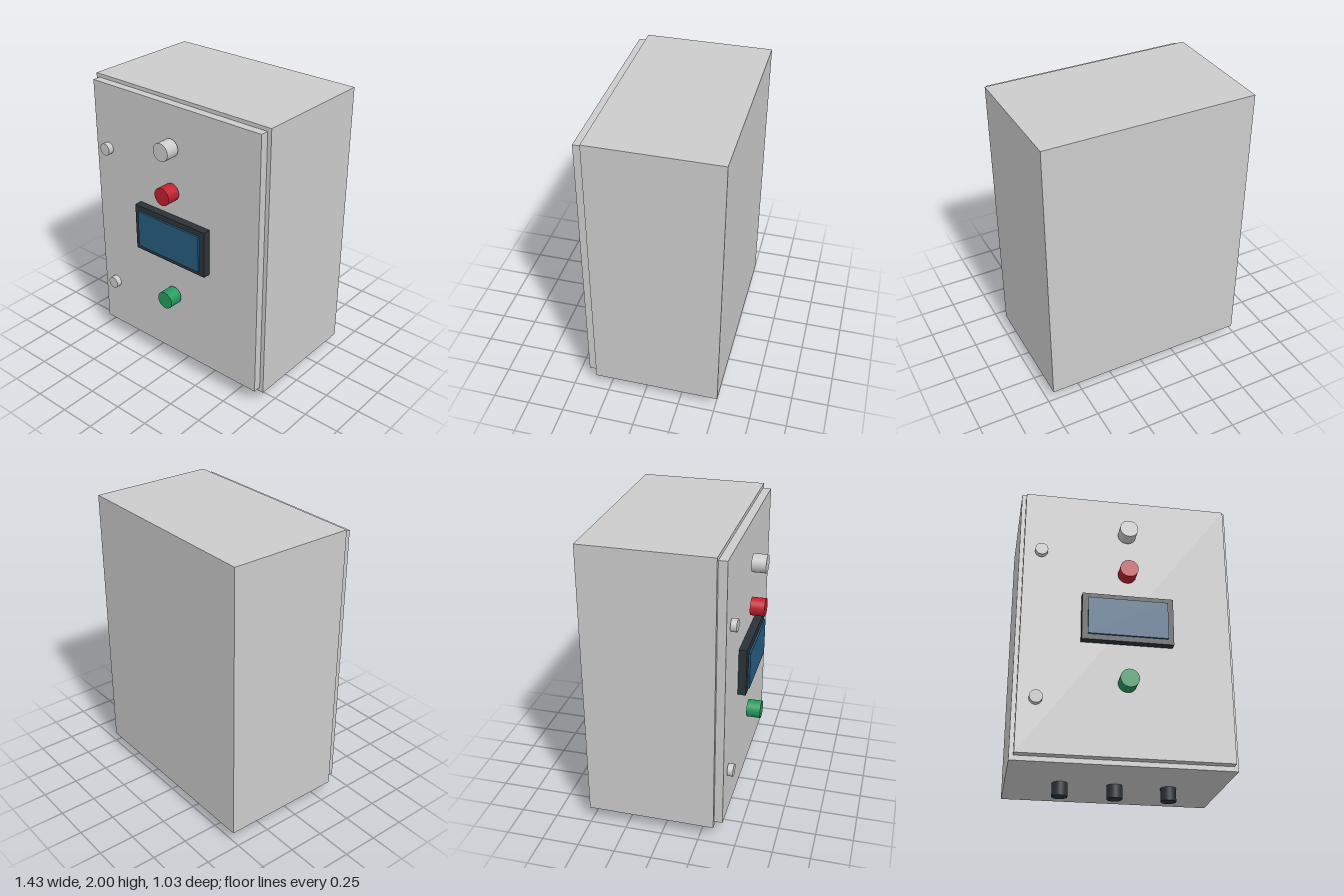
import * as THREE from 'three';

const material = (color) => new THREE.MeshStandardMaterial({ color });

export function createModel() {
  const model = new THREE.Group();
  const grey = material(0xcccccc);
  const dark = material(0x2b3338);

  const add = (name, geometry, mat, x, y, z) => {
    const mesh = new THREE.Mesh(geometry, mat);
    mesh.name = name;
    mesh.position.set(x, y, z);
    model.add(mesh);
  };

  // Box given by its width and its y and z ranges, centred on x
  const addBox = (name, mat, width, y0, y1, z0, z1) =>
    add(name, new THREE.BoxGeometry(width, y1 - y0, z1 - z0), mat, 0, (y0 + y1) / 2, (z0 + z1) / 2);

  // Round knob whose axis points forward
  const addKnob = (name, mat, radius, x, y, z0, z1) =>
    add(name, new THREE.CylinderGeometry(radius, radius, z1 - z0, 32).rotateX(Math.PI / 2),
      mat, x, y, (z0 + z1) / 2);

  // Cabinet and its door
  addBox('cabinet', grey, 1.434, 0.09, 2, -0.515, 0.346);
  addBox('door', grey, 1.378, 0.122, 1.975, 0.346, 0.402);

  // Display panel
  addBox('displayFrame', dark, 0.6, 0.882, 1.212, 0.402, 0.456);
  addBox('displayScreen', material(0x265b7d), 0.524, 0.917, 1.176, 0.46, 0.473);

  // Lamp and push buttons
  addKnob('indicatorLamp', grey, 0.061, 0, 1.697, 0.419, 0.515);
  addKnob('stopButton', material(0xc0202e), 0.061, 0, 1.39, 0.419, 0.515);
  addKnob('startButton', material(0x229a5c), 0.061, 0, 0.606, 0.419, 0.515);

  // Door locks
  for (const y of [0.474, 1.524]) addKnob('doorLock', grey, 0.042, -0.574, y, 0.408, 0.447);

  // Cable glands under the cabinet
  for (const x of [-0.36, 0, 0.36])
    add('cableGland', new THREE.CylinderGeometry(0.052, 0.052, 0.09, 24), dark, x, 0.045, -0.085);

  return model;
}
